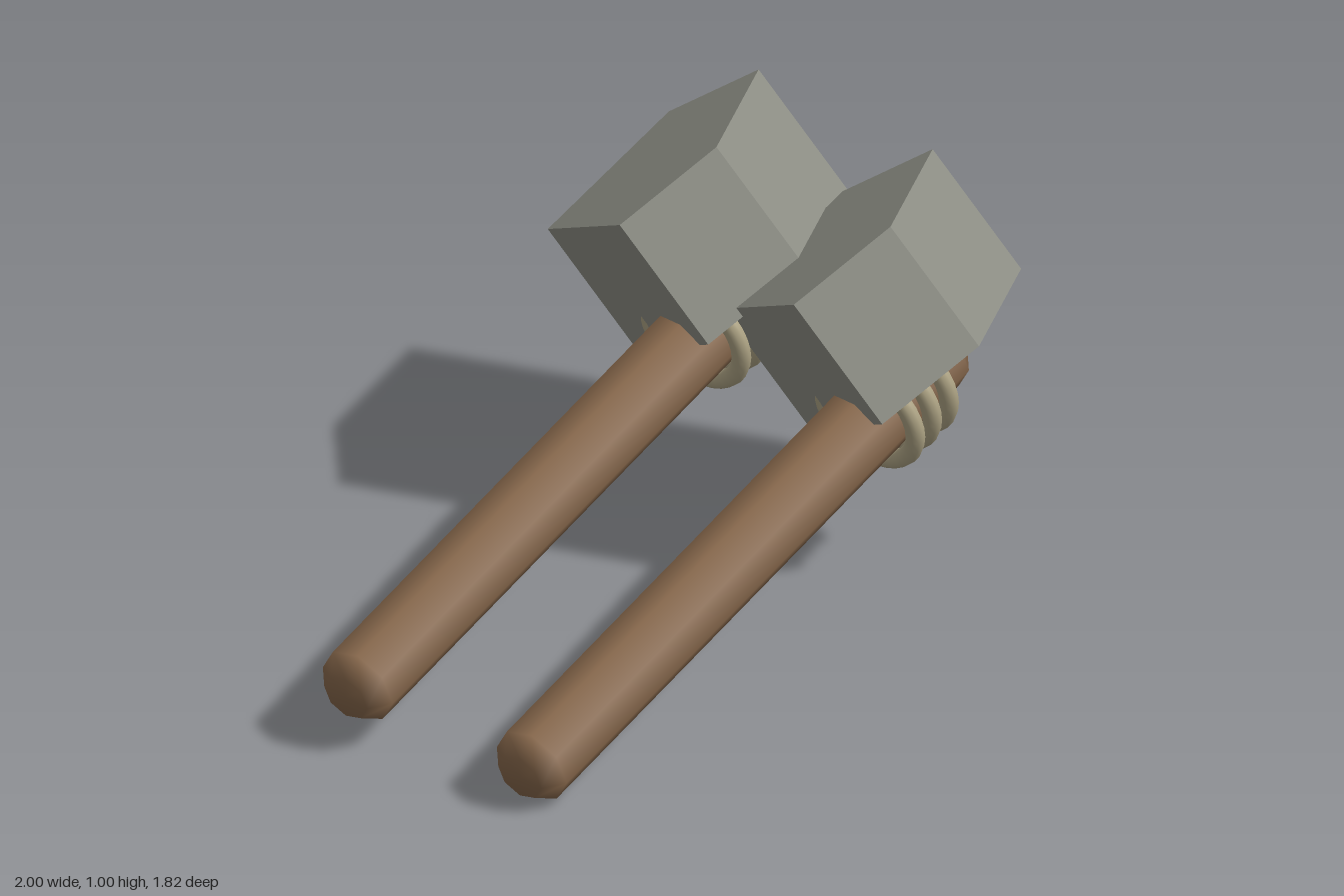
import * as THREE from 'three';

const mat = (name, color, extra = {}) => {
  const m = new THREE.MeshStandardMaterial({ color, ...extra });
  m.name = name;
  return m;
};

// One hammer: handle along local x, stone head on its +y side
function createHammer(mats) {
  const hammer = new THREE.Group();
  const add = (name, geometry, material) => {
    const mesh = new THREE.Mesh(geometry, material);
    mesh.name = name;
    hammer.add(mesh);
  };

  // Wooden handle with bevelled ends
  const profile = [[0, -0.815], [0.064, -0.815], [0.104, -0.765], [0.104, 0.91], [0.064, 0.96], [0, 0.96]]
    .map(([r, y]) => new THREE.Vector2(r, y));
  add('handle', new THREE.LatheGeometry(profile, 8).rotateZ(-Math.PI / 2), mats.wood);

  // Five-sided stone block, resting on the handle axis
  const outline = [[0.837, 0.275], [1.214, 0.07], [1.135, -0.23], [0.67, -0.27], [0.559, 0.148]]
    .map(([x, z]) => new THREE.Vector2(x, -z));
  const head = new THREE.ExtrudeGeometry(new THREE.Shape(outline), { depth: 0.371, bevelEnabled: false });
  add('stoneHead', head.rotateX(-Math.PI / 2).translate(0, 0.01, 0), mats.stone);

  // Three rope loops binding the head to the handle
  for (let i = 0; i < 3; i++) {
    const loop = new THREE.TorusGeometry(0.138, 0.024, 10, 32).rotateY(Math.PI / 2);
    add('ropeLoop' + (i + 1), loop.translate(0.65 + i * 0.07, 0.01, 0), mats.rope);
  }
  return hammer;
}

export function createModel() {
  const mats = {
    wood: mat('wood', 0x85664a),
    stone: mat('stone', 0x8c8d84),
    rope: mat('rope', 0xaca283),
  };

  // Shared tilt of both hammers
  const along = new THREE.Vector3(0.811, 0.243, -0.531).normalize();
  const side = new THREE.Vector3(0.332, 0.555, 0.76).normalize();
  const up = new THREE.Vector3().crossVectors(side, along).normalize();
  side.crossVectors(along, up);
  const tilt = new THREE.Matrix4().makeBasis(along, up, side);

  const model = new THREE.Group();
  model.name = 'hammerPair';
  [['frontHammer', 0, 0.284, 0.412], ['backHammer', -0.3, 0.344, 0.002]].forEach(([name, x, y, z]) => {
    const hammer = createHammer(mats);
    hammer.name = name;
    hammer.quaternion.setFromRotationMatrix(tilt);
    hammer.position.set(x, y, z);
    model.add(hammer);
  });
  return model;
}
